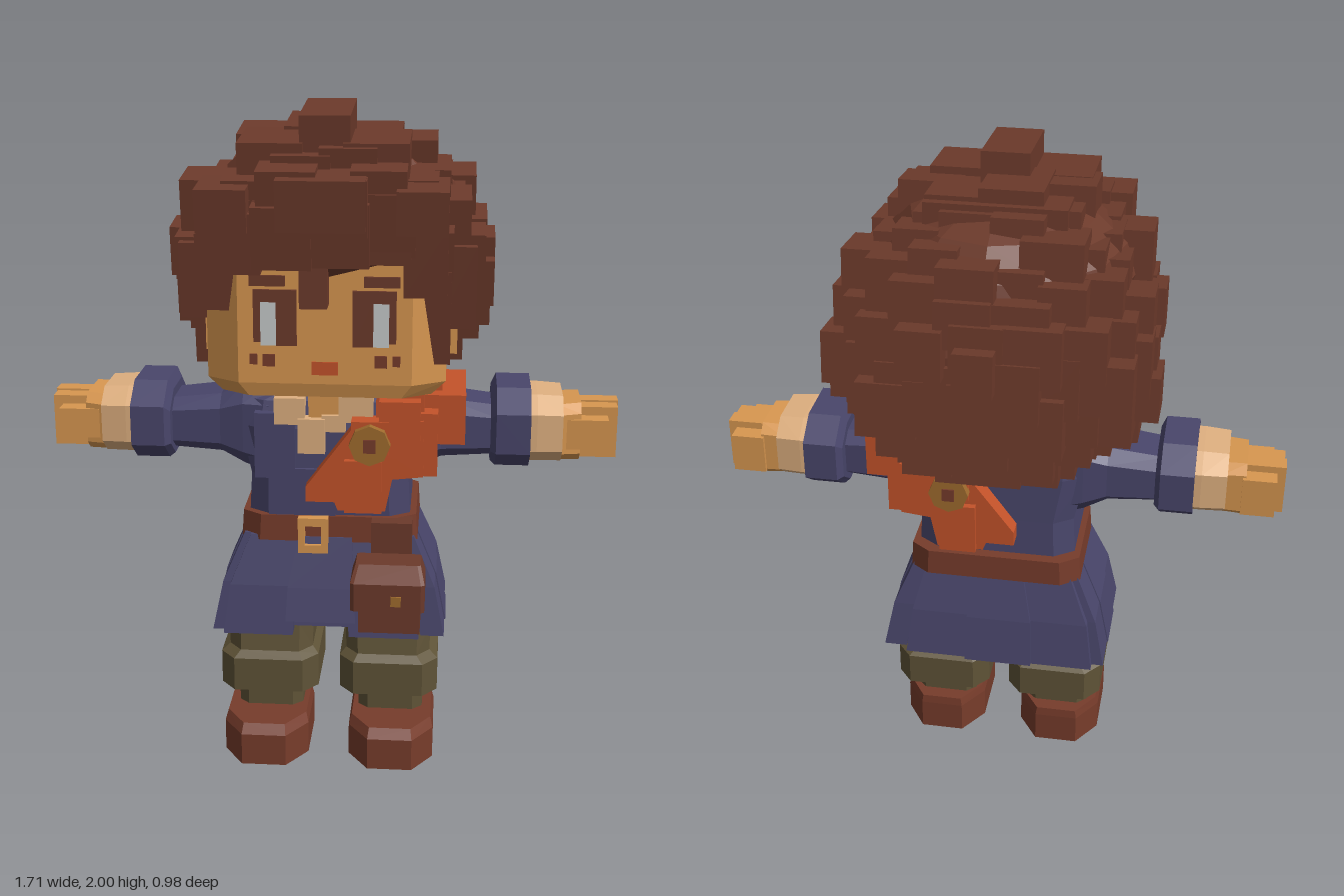
import * as THREE from 'three';
import { mergeGeometries } from 'three/addons/utils/BufferGeometryUtils.js';

const mat = (name, color) => Object.assign(new THREE.MeshStandardMaterial({ color }), { name });

// Stacked eight-sided sections [y, halfWidth, halfDepth, centreX, centreZ]; k is the share of each side left flat.
function loft(sections, k = 0.6) {
  const rings = sections.map(([y, w, d, cx = 0, cz = 0]) =>
    [[1, k], [k, 1], [-k, 1], [-1, k], [-1, -k], [-k, -1], [k, -1], [1, -k]]
      .map(([a, b]) => [cx + a * w, y, cz + b * d]));
  const out = [];
  for (let r = 0; r + 1 < rings.length; r++) {
    for (let i = 0; i < 8; i++) {
      const j = (i + 1) % 8, lo = rings[r], hi = rings[r + 1];
      out.push(...lo[i], ...hi[i], ...lo[j], ...lo[j], ...hi[i], ...hi[j]);
    }
  }
  const bottom = rings[0], top = rings[rings.length - 1];
  for (let i = 1; i < 7; i++) {
    out.push(...bottom[0], ...bottom[i], ...bottom[i + 1]);
    out.push(...top[0], ...top[i + 1], ...top[i]);
  }
  return new THREE.BufferGeometry().setAttribute('position', new THREE.Float32BufferAttribute(out, 3));
}

// Box from its limits
function box(x0, x1, y0, y1, z0, z1, tilt = 0) {
  return new THREE.BoxGeometry(x1 - x0, y1 - y0, z1 - z0).rotateX(tilt)
    .translate((x0 + x1) / 2, (y0 + y1) / 2, (z0 + z1) / 2);
}

// Faceted, unindexed copy holding only positions and normals
function faceted(geo) {
  const g = geo.index ? geo.toNonIndexed() : geo.clone();
  g.deleteAttribute('uv');
  g.computeVertexNormals();
  return g;
}

// Mirrored copy across a plane (axis 0 = x, 2 = z), keeping faces outward
function flip(geo, axis, centre = 0) {
  const g = faceted(geo), a = g.attributes.position.array;
  for (let i = axis; i < a.length; i += 3) a[i] = 2 * centre - a[i];
  for (let i = 0; i < a.length; i += 9)
    for (let c = 0; c < 3; c++) [a[i + 3 + c], a[i + 6 + c]] = [a[i + 6 + c], a[i + 3 + c]];
  return g;
}

export function createModel() {
  const model = new THREE.Group();
  const hair = mat('hairBrown', 0x6c3a2b), leather = mat('leather', 0x773c2b);
  const skin = mat('skin', 0xd89750), pale = mat('paleLinen', 0xdfb080);
  const navy = mat('navyCloth', 0x49466b), olive = mat('oliveCloth', 0x5f5337);
  const orange = mat('orangeCloth', 0xc4532a), gold = mat('brass', 0xa06c2e);
  const white = mat('eyeWhite', 0xc8cccc);

  const add = (name, material, ...geos) => {
    const mesh = new THREE.Mesh(mergeGeometries(geos.map(faceted)), material);
    mesh.name = name;
    model.add(mesh);
  };
  const pair = (name, material, ...geos) => {
    add(name + 'Left', material, ...geos);
    add(name + 'Right', material, ...geos.map(g => flip(g, 0)));
  };

  // Legs and boots
  pair('boot', leather, loft([[0, 0.13, 0.193, 0.193, 0.117], [0.1, 0.13, 0.193, 0.193, 0.117], [0.128, 0.122, 0.18, 0.193, 0.107]], 0.52));
  pair('trouserLeg', olive,
    loft([[0.11, 0.1, 0.093, 0.187, 0.065], [0.24, 0.1, 0.093, 0.187, 0.065]], 0.7),
    loft([[0.22, 0.15, 0.182, 0.183, 0.065], [0.325, 0.15, 0.182, 0.183, 0.065], [0.345, 0.128, 0.16, 0.18, 0.065],
      [0.43, 0.13, 0.145, 0.18, 0.065], [0.56, 0.12, 0.13, 0.16, 0.05]], 0.7));

  // Tunic body and flared skirt with overlapping panels
  add('tunic', navy,
    loft([[0.72, 0.245, 0.165, 0, 0.03], [0.9, 0.235, 0.16, 0, 0.035], [1.05, 0.27, 0.155, 0, 0.035],
      [1.13, 0.26, 0.14, 0, 0.03], [1.16, 0.16, 0.1, 0, 0.03]], 0.75),
    box(-0.22, -0.1, 0.9, 1.1, 0.16, 0.205), box(-0.18, 0.02, 0.76, 0.93, 0.16, 0.205));
  const panels = [loft([[0.44, 0.32, 0.21, 0, 0.03], [0.57, 0.295, 0.19, 0, 0.03], [0.75, 0.235, 0.155, 0, 0.03]], 0.75)];
  for (const i of [-1, 0, 1]) {
    const lift = i ? 0 : 0.012;
    for (const s of [-1, 1]) {
      const hem = s > 0 && !i ? 0.47 : 0.42;
      panels.push(loft([[hem, 0.105, 0.035, i * 0.19 - 0.02, 0.03 + s * (0.203 + lift)],
        [0.57, 0.1, 0.035, i * 0.175 - 0.02, 0.03 + s * (0.18 + lift)],
        [0.72, 0.08, 0.03, i * 0.145 - 0.01, 0.03 + s * (0.145 + lift)]], 1));
      panels.push(loft([[0.42, 0.035, 0.085, s * (0.316 + lift * 0.3), 0.03 + i * 0.125],
        [0.57, 0.035, 0.08, s * (0.285 + lift * 0.3), 0.03 + i * 0.11],
        [0.72, 0.03, 0.065, s * (0.225 + lift * 0.3), 0.03 + i * 0.095]], 1));
    }
  }
  add('skirt', navy, ...panels);

  // Belt, buckle and pouch
  add('belt', leather, loft([[0.705, 0.265, 0.19, 0, 0.022], [0.785, 0.26, 0.187, 0, 0.022]], 0.78));
  add('beltBuckle', skin, box(-0.09, 0, 0.76, 0.785, 0.2, 0.235), box(-0.09, 0, 0.675, 0.7, 0.2, 0.235),
    box(-0.09, -0.07, 0.7, 0.76, 0.2, 0.235), box(-0.02, 0, 0.7, 0.76, 0.2, 0.235));
  add('pouch', hair, box(0.1, 0.28, 0.485, 0.66, 0.24, 0.37),
    loft([[0.565, 0.108, 0.07, 0.185, 0.33], [0.65, 0.108, 0.07, 0.185, 0.33], [0.69, 0.095, 0.045, 0.185, 0.3]], 0.9),
    box(0.13, 0.25, 0.64, 0.785, 0.19, 0.255));
  add('pouchButton', gold, box(0.195, 0.225, 0.585, 0.615, 0.398, 0.406));

  // Arms: sections run outwards along x
  const along = (sections, k) => loft(sections, k).rotateZ(-Math.PI / 2).translate(0, 1.04, 0.035);
  pair('sleeve', navy,
    along([[0.18, 0.14, 0.14, 0.01], [0.26, 0.125, 0.13, 0], [0.33, 0.09, 0.115, 0], [0.5, 0.075, 0.105, 0.005]]));
  pair('cuff', navy, along([[0.475, 0.1, 0.14, 0], [0.49, 0.12, 0.165, -0.01], [0.59, 0.12, 0.165, -0.01]], 0.5));
  pair('wristBand', pale, along([[0.58, 0.102, 0.138, -0.007], [0.61, 0.102, 0.138, -0.007], [0.685, 0.1, 0.13, -0.005]], 0.55));
  pair('hand', skin,
    along([[0.67, 0.085, 0.11, 0.005, 0], [0.74, 0.088, 0.1, 0.005, -0.01]], 0.7),
    box(0.73, 0.83, 0.97, 1.09, -0.087, -0.033), box(0.73, 0.855, 0.955, 1.11, -0.031, 0.024),
    box(0.73, 0.85, 0.95, 1.105, 0.026, 0.08), box(0.69, 0.82, 0.99, 1.08, 0.083, 0.137));

  // Neck and open collar
  add('neck', skin, loft([[1.04, 0.09, 0.09, 0, 0.06], [1.24, 0.09, 0.09, 0, 0.04]]));
  add('neckFront', skin, box(-0.06, 0.05, 1.05, 1.17, 0.12, 0.2));
  add('collar', pale, box(-0.16, -0.07, 1.07, 1.15, 0.1, 0.215), box(-0.09, -0.01, 0.985, 1.09, 0.14, 0.225),
    box(0.03, 0.13, 1.08, 1.16, 0.1, 0.215), box(-0.02, 0.05, 1.05, 1.1, 0.14, 0.215));

  // Shoulder scarf, draped alike in front and behind
  const drapeShape = new THREE.Shape([[0.07, 1.07], [-0.065, 0.89], [-0.065, 0.845], [0.02, 0.845], [0.03, 0.82],
    [0.17, 0.82], [0.19, 0.92], [0.28, 0.93], [0.28, 1.1]].map(p => new THREE.Vector2(...p)));
  const drape = [
    new THREE.ExtrudeGeometry(drapeShape, { depth: 0.07, bevelEnabled: false }).translate(0, 0, 0.18),
    box(0.05, 0.16, 0.82, 0.98, 0.22, 0.27), box(0.22, 0.32, 0.93, 1.12, 0.13, 0.24),
    box(0.15, 0.27, 0.99, 1.16, 0.16, 0.265), box(0.07, 0.18, 1.0, 1.1, 0.2, 0.27)];
  add('scarf', orange, ...drape, ...drape.map(g => flip(g, 2, 0.035)),
    box(0.14, 0.28, 1.05, 1.195, -0.14, 0.22), box(0.26, 0.4, 1.01, 1.16, -0.11, 0.18),
    box(0.24, 0.33, 1.08, 1.18, -0.06, 0.13));
  const disc = new THREE.CylinderGeometry(0.06, 0.06, 0.03, 8).rotateX(Math.PI / 2).translate(0.125, 1.035, 0.28);
  const stud = box(0.107, 0.143, 1.015, 1.055, 0.292, 0.3);
  add('brooch', gold, disc, flip(disc, 2, 0.035));
  add('broochStud', leather, stud, flip(stud, 2, 0.035));

  // Head with ears
  add('head', skin, loft([[1.19, 0.3, 0.2, 0, 0.125], [1.23, 0.34, 0.215, 0, 0.12], [1.65, 0.34, 0.215, 0, 0.12]], 0.72));
  pair('ear', skin, box(0.32, 0.37, 1.27, 1.43, -0.02, 0.12));

  // Face details
  const z = 0.334, plate = (x0, x1, y0, y1, lift = 0) => box(x0, x1, y0, y1, z, z + 0.005 + lift);
  pair('iris', hair, plate(0.078, 0.136, 1.34, 1.47), plate(0.078, 0.2, 1.465, 1.5, 0.004), plate(0.18, 0.2, 1.35, 1.47));
  pair('eyeWhite', white, plate(0.136, 0.18, 1.34, 1.466));
  pair('eyebrow', hair, plate(0.11, 0.21, 1.51, 1.54, 0.004));
  pair('freckles', leather, plate(0.14, 0.175, 1.28, 1.315), plate(0.19, 0.212, 1.285, 1.315));
  add('mouth', orange, plate(-0.037, 0.037, 1.257, 1.295));

  // Hair: rows of tilted blocks set in and out around a solid core
  let seed = 7;
  const rand = () => (seed = (seed * 16807) % 2147483647) / 2147483647;
  const ball = (x, y, zz, cy, cz) => new THREE.SphereGeometry(1, 12, 8).scale(x, y, zz).translate(0, cy, cz);
  add('hairCore', hair, ball(0.38, 0.24, 0.38, 1.67, 0.03), ball(0.4, 0.31, 0.24, 1.45, -0.17));
  // [y, halfWidth, front z, back z, furthest z kept, blocks]
  const rows = [[1.82, 0.28, 0.38, -0.2, 1, 10], [1.75, 0.36, 0.47, -0.36, 1, 15], [1.68, 0.42, 0.46, -0.41, 1, 17],
    [1.58, 0.48, 0.4, -0.46, 0.26, 18], [1.48, 0.49, 0.33, -0.46, 0.2, 18], [1.39, 0.46, 0.33, -0.45, 0.06, 18],
    [1.3, 0.41, 0.3, -0.42, -0.02, 16], [1.22, 0.32, 0.15, -0.37, -0.08, 13], [1.16, 0.2, 0.1, -0.27, -0.12, 8]];
  const blocks = [];
  const bulge = v => Math.sign(v) * Math.abs(v) ** 0.88;
  rows.forEach(([y, w, front, back, limit, n], r) => {
    for (let i = 0; i < n; i++) {
      const a = ((i + (r % 2) / 2) / n) * Math.PI * 2, inset = 0.065 + rand() * 0.05;
      const x = bulge(Math.cos(a)) * (w - inset);
      const cz = (front + back) / 2 + bulge(Math.sin(a)) * ((front - back) / 2 - inset);
      const dx = 0.06 + rand() * 0.03, dy = 0.06 + rand() * 0.03, dz = 0.06 + rand() * 0.03, cy = y + (rand() - 0.5) * 0.05;
      if (cz < limit) blocks.push(box(x - dx, x + dx, cy - dy, cy + dy, cz - dz, cz + dz, 0.12));
    }
  });
  add('hairBlocks', hair, ...blocks);
  add('hairCrown', hair, box(-0.07, 0.07, 1.87, 1.985, 0.05, 0.32, 0.08), box(-0.2, 0.2, 1.78, 1.89, -0.13, 0.3, 0.08),
    box(-0.13, 0.05, 1.83, 1.935, -0.1, 0.14, 0.08), box(0.03, 0.2, 1.8, 1.91, -0.1, 0.1, 0.08),
    box(-0.24, -0.06, 1.79, 1.91, 0.1, 0.33, 0.08), box(0.05, 0.23, 1.79, 1.91, 0.12, 0.33, 0.08),
    box(-0.055, 0.055, 1.51, 1.63, -0.49, -0.36, 0.12), box(-0.3, 0.3, 1.6, 1.74, 0.25, 0.36));
  // Fringe and side locks
  add('fringe', hair, box(-0.12, 0.12, 1.69, 1.83, 0.32, 0.48, 0.1),
    box(-0.065, 0.012, 1.46, 1.7, 0.33, 0.4), box(-0.2, -0.06, 1.62, 1.73, 0.31, 0.43, 0.1),
    box(0.0, 0.12, 1.6, 1.72, 0.31, 0.42, 0.1), box(0.1, 0.24, 1.59, 1.72, 0.3, 0.41, 0.1),
    box(-0.31, -0.17, 1.56, 1.72, 0.25, 0.41, 0.1), box(-0.36, -0.24, 1.44, 1.66, 0.2, 0.33, 0.1),
    box(0.22, 0.34, 1.5, 1.7, 0.25, 0.4, 0.1), box(0.24, 0.35, 1.29, 1.56, 0.17, 0.31, 0.1),
    box(-0.42, -0.31, 1.4, 1.62, 0.1, 0.25, 0.1), box(0.31, 0.42, 1.38, 1.62, 0.1, 0.25, 0.1),
    box(-0.34, -0.2, 1.68, 1.8, 0.28, 0.45, 0.1), box(0.2, 0.34, 1.68, 1.8, 0.28, 0.45, 0.1));
  return model;
}
